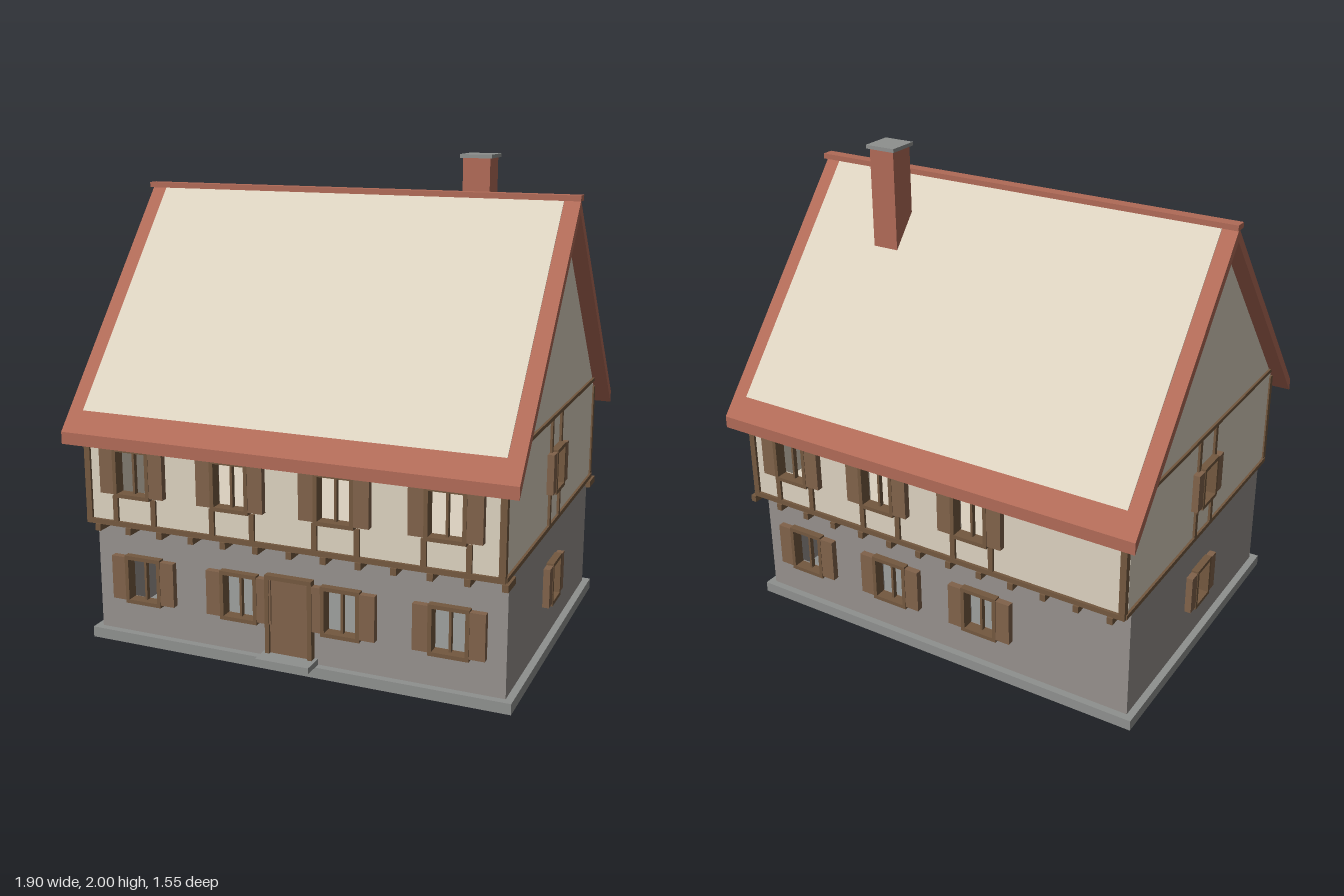
import * as THREE from 'three';

const mat = (name, color, side = THREE.FrontSide) => {
  const m = new THREE.MeshStandardMaterial({ color, side });
  m.name = name;
  return m;
};

export function createModel() {
  const plaster = mat('cream plaster', 0xdbd1bf);
  const tile = mat('terracotta', 0xb06a57);
  const stone = mat('grey stone', 0x95908c);
  const base = mat('plinth stone', 0x8e908e);
  const beam = mat('dark timber', 0x73583f);
  const board = mat('timber boards', 0x80624a);

  const house = new THREE.Group();
  house.name = 'timberFramedHouse';

  const group = (parent, name) => {
    const g = new THREE.Group();
    g.name = name;
    parent.add(g);
    return g;
  };
  // Box given by its limits on each axis
  const box = (parent, name, m, x0, x1, y0, y1, z0, z1) => {
    const mesh = new THREE.Mesh(new THREE.BoxGeometry(x1 - x0, y1 - y0, z1 - z0), m);
    mesh.position.set((x0 + x1) / 2, (y0 + y1) / 2, (z0 + z1) / 2);
    mesh.name = name;
    parent.add(mesh);
    return mesh;
  };
  // Closed outline in x, y pushed along z
  const extrude = (name, m, pts, depth, holes = []) => {
    const shape = new THREE.Shape(pts.map(p => new THREE.Vector2(...p)));
    for (const h of holes) shape.holes.push(new THREE.Path(h.map(p => new THREE.Vector2(...p))));
    const mesh = new THREE.Mesh(new THREE.ExtrudeGeometry(shape, { depth, bevelEnabled: false }), m);
    mesh.name = name;
    return mesh;
  };
  const rect = (x0, x1, y0, y1) => [[x0, y0], [x1, y0], [x1, y1], [x0, y1]];

  const T = 0.03; // wall thickness

  // Wall with open window holes, outer face at z = d
  const wall = (parent, name, m, half, y0, y1, d, xs, win) => {
    const holes = xs.map(x =>
      rect(x - win.w + 0.012, x + win.w - 0.012, win.y0 + 0.012, win.y1 - 0.012).reverse());
    const mesh = extrude(name, m, rect(-half, half, y0, y1), T, holes);
    mesh.position.z = d - T;
    parent.add(mesh);
  };

  // Frame, mullion and a pair of open shutters
  const windowUnit = (parent, x, d, { w, y0, y1, s }) => {
    const g = group(parent, 'window');
    g.position.set(x, 0, d);
    const f = 0.016;
    const frame = extrude('windowFrame', beam, rect(-w, w, y0, y1), 0.05,
      [rect(-w + f, w - f, y0 + f, y1 - f).reverse()]);
    frame.position.z = -0.02;
    g.add(frame);
    box(g, 'mullion', beam, -0.005, 0.005, y0 + f, y1 - f, -0.015, 0.005);
    for (const side of [-1, 1]) {
      const c = side * (w + s / 2);
      box(g, 'shutter', board, c - s / 2, c + s / 2, y0 + 0.012, y1 - 0.008, 0, 0.028);
    }
  };

  // Plinth and doorstep
  box(house, 'plinth', base, -0.91, 0.91, 0, 0.045, -0.67, 0.67);
  box(house, 'doorstep', base, -0.115, 0.115, 0.045, 0.07, 0.6, 0.735);

  // Facades, each made facing +z and then turned into place
  const longLow = { w: 0.082, y0: 0.18, y1: 0.387, s: 0.062 };
  const longHigh = { w: 0.082, y0: 0.657, y1: 0.865, s: 0.062 };
  const gableLow = { w: 0.07, y0: 0.195, y1: 0.38, s: 0.05 };
  const gableHigh = { w: 0.07, y0: 0.675, y1: 0.86, s: 0.05 };
  const all = [-0.66, -0.22, 0.22, 0.66];

  const longSide = (name, turn, xs) => {
    const g = group(house, name);
    g.rotation.y = turn;
    const dir = turn ? -1 : 1;
    wall(g, 'stoneWall', stone, 0.88, 0.045, 0.53, 0.64, xs, longLow);
    wall(g, 'plasterWall', plaster, 0.879, 0.53, 0.97, 0.7, xs, longHigh);
    for (const x of xs) {
      windowUnit(g, x, 0.64, longLow);
      windowUnit(g, x, 0.7, longHigh);
      for (const o of [-0.0875, 0.0875])
        for (const [a, b] of [[0.545, longHigh.y0], [longHigh.y1, 0.955]])
          box(g, 'post', beam, x + o - 0.011, x + o + 0.011, a, b, 0.69, 0.711);
    }
    box(g, 'sillBeam', beam, -0.886, 0.886, 0.527, 0.548, 0.685, 0.712);
    for (const s of [-1, 1])
      box(g, 'cornerPost', beam, s * 0.873 - 0.013, s * 0.873 + 0.013, 0.548, 0.955, 0.685, 0.711);
    // Joist ends carrying the overhang
    for (let i = 0; i < 13; i++) {
      const x = dir * (-0.83 + i * 0.1432);
      box(g, 'joistEnd', beam, x - 0.012, x + 0.012, 0.5, 0.528, 0.62, 0.72);
    }
    return g;
  };
  const front = longSide('frontFacade', 0, all);
  longSide('backFacade', Math.PI, [-0.66, -0.22, 0.22]);

  const gableSide = (name, turn) => {
    const g = group(house, name);
    g.rotation.y = turn;
    wall(g, 'stoneWall', stone, 0.61, 0.045, 0.53, 0.88, [0], gableLow);
    wall(g, 'plasterWall', plaster, 0.67, 0.53, 1.0, 0.88, [0], gableHigh);
    windowUnit(g, 0, 0.88, gableLow);
    windowUnit(g, 0, 0.88, gableHigh);
    box(g, 'sillBeam', beam, -0.7, 0.7, 0.528, 0.547, 0.87, 0.89);
    box(g, 'topBeam', beam, -0.69, 0.69, 0.984, 1.0, 0.87, 0.89);
    for (const s of [-1, 1]) {
      const x = s * 0.077;
      box(g, 'post', beam, x - 0.011, x + 0.011, 0.547, 0.984, 0.87, 0.89);
    }
  };
  gableSide('leftGableWall', Math.PI / 2);
  gableSide('rightGableWall', -Math.PI / 2);

  // Upper floor, closing the overhang from below
  box(house, 'upperFloor', plaster, -0.865, 0.865, 0.53, 0.54, -0.69, 0.69);

  // Door
  const door = group(front, 'door');
  box(door, 'doorPanel', board, -0.085, 0.085, 0.07, 0.385, 0.62, 0.66);
  for (const s of [-1, 1])
    box(door, 'doorJamb', beam, s * 0.092 - 0.009, s * 0.092 + 0.009, 0.07, 0.4, 0.62, 0.672);
  box(door, 'doorLintel', beam, -0.083, 0.083, 0.383, 0.4, 0.62, 0.672);

  // Roof shell and the plaster-coloured attic that lies flush over it
  const alongX = (mesh, half) => {
    mesh.rotation.y = Math.PI / 2;
    mesh.position.x = -half;
    house.add(mesh);
  };
  alongX(extrude('roof', tile, [
    [-0.775, 0.87], [0, 1.79], [0.775, 0.87], [0.775, 0.92], [0, 1.84], [-0.775, 0.92],
  ], 1.89), 0.945);
  alongX(extrude('attic', plaster, [[-0.712, 1.0], [0.712, 1.0], [0, 1.845]], 1.76), 0.88);
  box(house, 'ridgeCap', tile, -0.95, 0.95, 1.838, 1.86, -0.025, 0.025);

  // Chimney
  box(house, 'chimney', tile, 0.432, 0.546, 1.45, 1.985, -0.227, -0.115);
  box(house, 'chimneyCap', base, 0.422, 0.556, 1.985, 2.0, -0.238, -0.104);

  return house;
}
